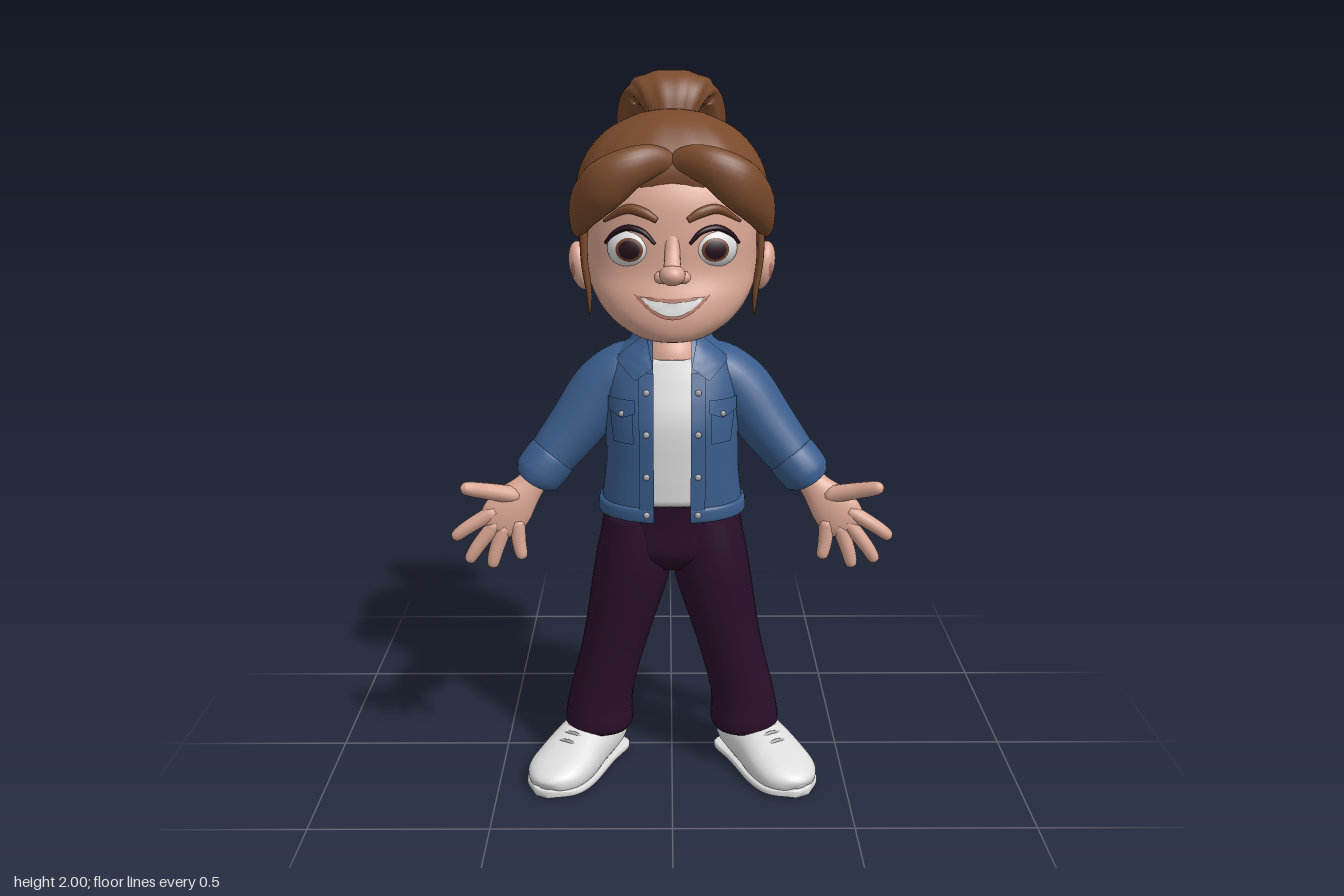
import * as THREE from 'three';

const V = (x, y, z) => new THREE.Vector3(x, y, z);
const mat = (name, color) => {
  const m = new THREE.MeshStandardMaterial({ color, side: THREE.DoubleSide });
  m.name = name;
  return m;
};

// Smooth a short list of cross-sections [x, y, z, halfWidth, halfDepth]
function sample(rows, steps) {
  const pos = new THREE.CatmullRomCurve3(rows.map(r => V(r[0], r[1], r[2])), false, 'catmullrom', 0.5);
  const rad = new THREE.CatmullRomCurve3(rows.map(r => V(r[3], r[4], 0)), false, 'catmullrom', 0.5);
  return Array.from({ length: steps + 1 }, (_, i) => {
    const t = i / steps, s = rad.getPoint(t);
    return { p: pos.getPoint(t), t: pos.getTangent(t), a: Math.max(s.x, 0.001), b: Math.max(s.y, 0.001) };
  });
}

// Skin the cross-sections; with ref they turn with the path, without it they stay level (rows rising)
function loft(rows, { ref = null, n = 24, steps = 24, pow = 2, gap = 0, ripple = [0, 0] } = {}) {
  const pts = [], idx = [], rings = sample(rows, steps), cols = gap ? n + 1 : n;
  for (const r of rings) {
    let N = V(1, 0, 0), B = V(0, 0, -1);
    if (ref) {
      N = ref.clone().addScaledVector(r.t, -ref.dot(r.t)).normalize();
      B = r.t.clone().cross(N);
    }
    const g = gap ? Math.asin(Math.min(0.95, gap / r.a) ** (pow / 2)) : 0;
    for (let j = 0; j < cols; j++) {
      const th = -Math.PI / 2 + g + (j / n) * (Math.PI * 2 - 2 * g);
      const c = Math.cos(th), s = Math.sin(th), k = 1 + ripple[1] * Math.cos(ripple[0] * th);
      const q = r.p.clone().addScaledVector(N, k * r.a * Math.sign(c) * Math.abs(c) ** (2 / pow));
      q.addScaledVector(B, k * r.b * Math.sign(s) * Math.abs(s) ** (2 / pow));
      pts.push(q.x, q.y, q.z);
    }
  }
  for (let i = 0; i < steps; i++) for (let j = 0; j < n; j++) {
    const a = i * cols + j, b = i * cols + (j + 1) % cols;
    idx.push(a, b, a + cols, b, b + cols, a + cols);
  }
  if (!gap) {
    const c = pts.length / 3, last = steps * cols;
    for (const r of [rings[0], rings[steps]]) pts.push(r.p.x, r.p.y, r.p.z);
    for (let j = 0; j < n; j++) idx.push(c, (j + 1) % n, j, c + 1, last + j, last + (j + 1) % n);
  }
  const geo = new THREE.BufferGeometry();
  geo.setAttribute('position', new THREE.Float32BufferAttribute(pts, 3));
  geo.setIndex(idx);
  geo.computeVertexNormals();
  return geo;
}

// Front z of a level loft at x, y
function frontOf(rows, pow) {
  const s = sample(rows, 80);
  return (x, y) => {
    let i = s.findIndex(r => r.p.y >= y);
    if (i < 0) i = 80;
    const r = s[i];
    return r.p.z + r.b * Math.max(0, 1 - Math.abs(x / r.a) ** pow) ** (1 / pow);
  };
}

// Thin sheet laid over a surface; f maps u, v to x, y
function patch(surf, off, f, nx = 12, ny = 4) {
  const g = new THREE.PlaneGeometry(1, 1, nx, ny), p = g.attributes.position;
  for (let i = 0; i < p.count; i++) {
    const [x, y] = f(p.getX(i) + 0.5, p.getY(i) + 0.5);
    p.setXYZ(i, x, y, surf(x, y) + off);
  }
  g.computeVertexNormals();
  return g;
}
// corners: lower left, lower right, upper right, upper left
const quad = (a, b, c, d) => (u, v) => [0, 1].map(k =>
  (a[k] * (1 - u) + b[k] * u) * (1 - v) + (d[k] * (1 - u) + c[k] * u) * v);
const ball = (x, y, z, rx, ry, rz) => new THREE.SphereGeometry(1, 24, 16).scale(rx, ry, rz).translate(x, y, z);

export function createModel() {
  const model = new THREE.Group();
  model.name = 'character';
  const skin = mat('skin', 0xd9a592), hair = mat('hair', 0x7a4a2c), denim = mat('denim', 0x3a5d8c);
  const cloth = mat('trousers', 0x2a0f2a), white = mat('white', 0xdcdcdc), dark = mat('pupil', 0x25101c);
  const brown = mat('iris', 0x6e3f28), lip = mat('lips', 0xb0705f), metal = mat('grey', 0xa3a3a8);

  const add = (name, geo, m) => {
    const mesh = new THREE.Mesh(geo, m);
    mesh.name = name;
    model.add(mesh);
  };
  const pair = (name, geo, m) => {
    add(name + 'Left', geo, m);
    const g = geo.clone().scale(-1, 1, 1), ix = g.index.array;
    for (let i = 0; i < ix.length; i += 3) [ix[i], ix[i + 1]] = [ix[i + 1], ix[i]];
    add(name + 'Right', g, m);
  };
  const X = V(1, 0, 0), Y = V(0, 1, 0), Z = V(0, 0, 1);

  // Head and face
  const headRows = [[0, 1.31, 0.22, 0.04, 0.06], [0, 1.325, 0.215, 0.1, 0.115], [0, 1.37, 0.205, 0.165, 0.14],
    [0, 1.43, 0.165, 0.21, 0.172], [0, 1.5, 0.11, 0.232, 0.205], [0, 1.6, 0.1, 0.236, 0.212],
    [0, 1.7, 0.09, 0.225, 0.208], [0, 1.79, 0.08, 0.17, 0.16], [0, 1.83, 0.08, 0.05, 0.05]];
  const faceZ = frontOf(headRows, 2.1);
  add('head', loft(headRows, { n: 40, steps: 40, pow: 2.1 }), skin);
  add('neck', loft([[0, 1.18, 0.12, 0.12, 0.11], [0, 1.26, 0.12, 0.09, 0.1], [0, 1.32, 0.12, 0.075, 0.075],
    [0, 1.42, 0.12, 0.075, 0.075]]), skin);
  add('nose', ball(0, 1.5, 0.338, 0.034, 0.028, 0.038), skin);
  add('noseBridge', loft([[0, 1.6, 0.296, 0.02, 0.014], [0, 1.55, 0.316, 0.02, 0.015],
    [0, 1.51, 0.338, 0.024, 0.022]], { ref: X, n: 16, steps: 8 }), skin);
  pair('nostril', ball(0.028, 1.492, 0.325, 0.02, 0.017, 0.022), skin);
  pair('ear', ball(0.25, 1.485, 0.075, 0.032, 0.068, 0.05).translate(-0.25, -1.485, 0).rotateZ(-0.2).translate(0.25, 1.485, 0), skin);
  pair('earHollow', ball(0.262, 1.49, 0.095, 0.015, 0.04, 0.025), lip);

  // Eyes: caps of one ball for white, iris and pupil
  const eyeCap = (angle, k) => new THREE.SphereGeometry(k, 24, 12, 0, Math.PI * 2, 0, angle).rotateX(Math.PI / 2)
    .rotateY(k > 1 ? -0.12 : 0).scale(0.064, 0.054, 0.042).rotateY(0.28).translate(0.108, 1.56, 0.267);
  pair('eyeball', eyeCap(Math.PI, 1), white);
  pair('iris', eyeCap(0.6, 1.02), brown);
  pair('pupil', eyeCap(0.44, 1.05), dark);
  const along = (list, off) => list.map(([x, y, a, b]) => [x, y, faceZ(x, y) + off, a, b]);
  pair('upperLid', loft(along([[0.045, 1.577, 0.004, 0.004], [0.075, 1.607, 0.01, 0.007], [0.115, 1.616, 0.012, 0.008],
    [0.15, 1.6, 0.01, 0.007], [0.175, 1.572, 0.004, 0.004]], 0.006), { ref: Z, n: 10 }), dark);
  pair('eyebrow', loft(along([[0.04, 1.637, 0.005, 0.008], [0.075, 1.656, 0.011, 0.013], [0.12, 1.662, 0.011, 0.012],
    [0.178, 1.628, 0.004, 0.004]], 0.004), { ref: Z, n: 12 }), hair);

  // Smile
  const smile = (w, top, bottom, y) => (u, v) => {
    const c = 4 * u * (1 - u);
    return [w * (2 * u - 1), y - c * (bottom + (top - bottom) * v)];
  };
  add('lips', patch(faceZ, 0.004, smile(0.1, 0.008, 0.062, 1.446), 20), lip);
  add('teeth', patch(faceZ, 0.008, smile(0.086, 0.014, 0.05, 1.443), 20), white);

  // Hair: cap, swept fringe, side locks, ponytail
  add('hairCap', loft([[0, 1.365, 0.02, 0.06, 0.04], [0, 1.385, 0.01, 0.13, 0.065], [0, 1.43, -0.015, 0.205, 0.095],
    [0, 1.51, -0.04, 0.25, 0.14], [0, 1.6, 0.01, 0.266, 0.213], [0, 1.7, 0.04, 0.262, 0.24], [0, 1.78, 0.055, 0.235, 0.23],
    [0, 1.85, 0.06, 0.175, 0.175], [0, 1.893, 0.07, 0.09, 0.1], [0, 1.906, 0.07, 0.02, 0.02]],
  { n: 72, steps: 40, pow: 2.2, ripple: [14, 0.008] }), hair);
  pair('fringe', loft([[-0.005, 1.775, 0.255, 0.025, 0.02], [0.05, 1.785, 0.28, 0.042, 0.03], [0.115, 1.765, 0.298, 0.055, 0.042],
    [0.18, 1.72, 0.287, 0.066, 0.045], [0.228, 1.668, 0.225, 0.062, 0.038], [0.25, 1.62, 0.145, 0.05, 0.026],
    [0.252, 1.585, 0.06, 0.02, 0.015]], { ref: Y, steps: 32 }), hair);
  pair('sideLock', loft([[0.235, 1.63, 0.18, 0.02, 0.012], [0.235, 1.52, 0.182, 0.017, 0.01], [0.224, 1.43, 0.18, 0.014, 0.008],
    [0.222, 1.365, 0.175, 0.002, 0.002]], { ref: Z, n: 12 }), hair);
  add('ponytail', loft([[0, 1.81, -0.115, 0.045, 0.035], [0, 1.86, -0.142, 0.06, 0.04], [0, 1.925, -0.178, 0.1, 0.055],
    [0, 1.938, -0.235, 0.135, 0.06], [0, 1.86, -0.29, 0.155, 0.055], [0, 1.74, -0.314, 0.14, 0.05],
    [0, 1.61, -0.335, 0.08, 0.036], [0, 1.515, -0.37, 0.006, 0.005]], { ref: X, n: 48, steps: 40, ripple: [10, 0.03] }), hair);
  add('hairBand', new THREE.TorusGeometry(0.047, 0.016, 10, 28).rotateX(1.04).translate(0, 1.832, -0.13), white);

  // Jacket and shirt
  const torso = [[0, 0.81, 0.125, 0.198, 0.155], [0, 0.85, 0.13, 0.195, 0.154], [0, 0.95, 0.14, 0.185, 0.15],
    [0, 1.08, 0.135, 0.186, 0.157], [0, 1.18, 0.122, 0.19, 0.143], [0, 1.25, 0.118, 0.16, 0.122],
    [0, 1.3, 0.115, 0.105, 0.098], [0, 1.33, 0.115, 0.082, 0.085]];
  const chestZ = frontOf(torso, 2.3);
  add('jacket', loft(torso, { n: 48, steps: 32, pow: 2.3, gap: 0.052 }), denim);
  add('shirt', loft(torso.slice(1, 6).map(([x, y, z, a, b]) => [x, y, z, a - 0.014, b - 0.012]), { n: 40, pow: 2.3 }), white);
  add('hemBand', loft([[0, 0.805, 0.125, 0.2, 0.157], [0, 0.812, 0.125, 0.207, 0.163], [0, 0.84, 0.128, 0.205, 0.162],
    [0, 0.848, 0.129, 0.196, 0.155]], { n: 48, steps: 9, pow: 2.3, gap: 0.052 }), denim);
  add('collarBand', loft([[0, 1.27, 0.117, 0.13, 0.115], [0, 1.3, 0.115, 0.112, 0.104], [0, 1.338, 0.113, 0.087, 0.09],
    [0, 1.325, 0.115, 0.078, 0.08]], { n: 40, steps: 12, gap: 0.065 }), denim);
  pair('collarFlap', patch(chestZ, 0.014, quad([0.052, 1.235], [0.1, 1.2], [0.155, 1.25], [0.07, 1.318]), 8, 8), denim);
  pair('placket', patch(chestZ, 0.006, quad([0.05, 0.81], [0.09, 0.81], [0.09, 1.22], [0.05, 1.22]), 4, 20), denim);
  pair('pocketFlap', patch(chestZ, 0.013, (u, v) => [0.1 + 0.075 * u,
    1.15 - (1 - v) * (0.035 + 0.015 * (1 - Math.abs(2 * u - 1)))], 8, 4), denim);
  pair('pocket', patch(chestZ, 0.007, quad([0.105, 1.03], [0.16, 1.03], [0.17, 1.12], [0.105, 1.12]), 6, 6), denim);
  for (const y of [0.83, 0.94, 1.06, 1.17]) pair('button', ball(0.07, y, chestZ(0.07, y) + 0.008, 0.009, 0.009, 0.006), metal);
  pair('pocketButton', ball(0.137, 1.112, chestZ(0.137, 1.112) + 0.015, 0.008, 0.008, 0.005), metal);

  // Sleeves and turned-back cuffs
  pair('sleeve', loft([[0.08, 1.235, 0.105, 0.07, 0.05], [0.135, 1.205, 0.105, 0.097, 0.073], [0.195, 1.145, 0.108, 0.1, 0.085],
    [0.26, 1.055, 0.125, 0.093, 0.08], [0.32, 0.98, 0.145, 0.082, 0.071], [0.37, 0.92, 0.165, 0.072, 0.06]], { ref: Z }), denim);
  pair('cuff', loft([[0.33, 0.967, 0.15, 0.07, 0.06], [0.336, 0.96, 0.152, 0.082, 0.071], [0.376, 0.912, 0.168, 0.078, 0.068],
    [0.383, 0.903, 0.17, 0.06, 0.05]], { ref: Z, steps: 14 }), denim);

  // Hands, palms forward
  pair('palm', loft([[0.36, 0.93, 0.165, 0.035, 0.03], [0.4, 0.88, 0.18, 0.043, 0.033], [0.445, 0.83, 0.197, 0.063, 0.032],
    [0.482, 0.785, 0.208, 0.06, 0.024], [0.502, 0.76, 0.21, 0.03, 0.012]], { ref: V(0.77, 0.64, 0) }), skin);
  const fingers = {
    thumb: [[0.43, 0.86, 0.195], [0.51, 0.885, 0.235], [0.575, 0.908, 0.278]],
    indexFinger: [[0.49, 0.82, 0.207], [0.565, 0.775, 0.214], [0.612, 0.74, 0.214]],
    middleFinger: [[0.485, 0.79, 0.207], [0.54, 0.72, 0.214], [0.572, 0.67, 0.216]],
    ringFinger: [[0.465, 0.78, 0.207], [0.492, 0.705, 0.215], [0.505, 0.655, 0.218]],
    littleFinger: [[0.432, 0.79, 0.205], [0.428, 0.73, 0.212], [0.418, 0.68, 0.22]],
  };
  for (const [name, [a, b, c]] of Object.entries(fingers)) {
    const w = name === 'thumb' ? 1.15 : 1, near = b.map((v, i) => v * 0.2 + c[i] * 0.8);
    pair(name, loft([[...a, 0.024 * w, 0.022 * w], [...b, 0.02 * w, 0.02 * w], [...near, 0.016 * w, 0.016 * w],
      [...c, 0.004, 0.004]], { ref: Z, n: 12, steps: 12 }), skin);
  }

  // Trousers
  add('hips', loft([[0, 0.64, 0.12, 0.09, 0.08], [0, 0.69, 0.118, 0.195, 0.12], [0, 0.78, 0.115, 0.195, 0.133],
    [0, 0.87, 0.125, 0.178, 0.138]], { n: 36, pow: 2.3 }), cloth);
  pair('trouserLeg', loft([[0.215, 0.115, 0.09, 0.088, 0.09], [0.215, 0.14, 0.09, 0.1, 0.1], [0.207, 0.23, 0.093, 0.093, 0.098],
    [0.165, 0.4, 0.105, 0.094, 0.103], [0.118, 0.6, 0.12, 0.109, 0.115], [0.104, 0.7, 0.118, 0.106, 0.124],
    [0.095, 0.8, 0.115, 0.09, 0.125]], { n: 28, steps: 30, pow: 2.2 }), cloth);

  // Shoes, toes turned out
  const place = g => g.rotateY(0.5).translate(0.24, 0, 0.09);
  const upper = loft([[0, 0.07, -0.122, 0.02, 0.03], [0, 0.075, -0.105, 0.062, 0.06], [0, 0.08, -0.03, 0.082, 0.07],
    [0, 0.07, 0.05, 0.085, 0.072], [0, 0.05, 0.14, 0.093, 0.06], [0, 0.04, 0.21, 0.085, 0.045],
    [0, 0.035, 0.255, 0.05, 0.028], [0, 0.03, 0.268, 0.01, 0.01]], { ref: X, n: 28, pow: 2.3 });
  const up = upper.attributes.position;
  for (let i = 0; i < up.count; i++) up.setY(i, Math.max(up.getY(i), 0.012));
  upper.computeVertexNormals();
  pair('shoe', place(upper), white);
  const sole = loft([[0, 0.012, -0.127, 0.03, 0.012], [0, 0.012, -0.105, 0.07, 0.012], [0, 0.012, 0, 0.078, 0.012],
    [0, 0.012, 0.14, 0.097, 0.012], [0, 0.012, 0.22, 0.085, 0.012], [0, 0.012, 0.272, 0.025, 0.012]], { ref: X, n: 28, pow: 5 });
  pair('sole', place(sole), white);
  [[0.075, 0.137], [0.105, 0.126], [0.135, 0.114]].forEach(([z, y]) => pair('lace', place(loft(
    [[-0.05, y - 0.014, z, 0.004, 0.004], [0, y, z, 0.006, 0.006], [0.05, y - 0.014, z, 0.004, 0.004]],
    { ref: Z, n: 8, steps: 8 })), metal));

  return model;
}
